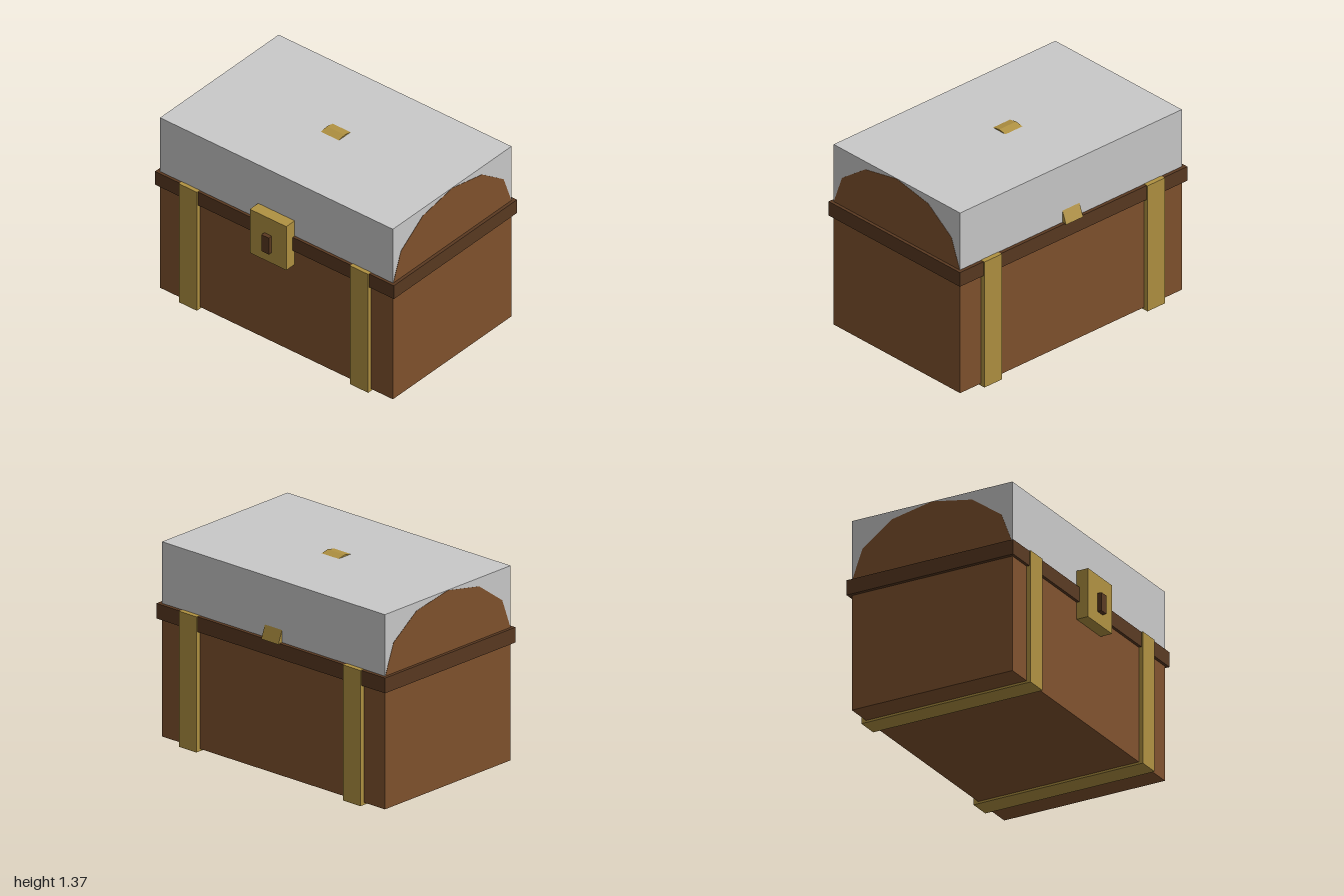
import * as THREE from 'three';

const mat = (name, color) => {
  const m = new THREE.MeshStandardMaterial({ color });
  m.name = name;
  return m;
};

export function createModel() {
  const wood = mat('wood brown', 0x80522d);
  const darkWood = mat('dark brown', 0x593921);
  const brass = mat('brass', 0xb09141);
  const grey = mat('pale grey', 0xc9c9c9);

  const chest = new THREE.Group();
  chest.name = 'chest';
  const midZ = -0.04, lidY = 0.93;

  // Box given by its lower and upper limits on each axis
  function box(name, material, [x0, x1], [y0, y1], [z0, z1]) {
    const mesh = new THREE.Mesh(new THREE.BoxGeometry(x1 - x0, y1 - y0, z1 - z0), material);
    mesh.position.set((x0 + x1) / 2, (y0 + y1) / 2, (z0 + z1) / 2);
    mesh.name = name;
    chest.add(mesh);
  }

  // Half of a twelve-sided ellipse, extruded along x
  function arch(name, material, rz, ry, width) {
    const points = [];
    for (let i = 0; i <= 6; i++) {
      const a = (i * Math.PI) / 6;
      points.push(new THREE.Vector2(rz * Math.cos(a), ry * Math.sin(a)));
    }
    const geometry = new THREE.ExtrudeGeometry(new THREE.Shape(points), { depth: width, bevelEnabled: false });
    geometry.translate(0, 0, -width / 2);
    geometry.rotateY(Math.PI / 2);
    const mesh = new THREE.Mesh(geometry, material);
    mesh.position.set(0, lidY, midZ);
    mesh.name = name;
    chest.add(mesh);
  }

  // Body and the rim around its mouth
  box('body', wood, [-0.975, 0.975], [0.015, 0.9], [-0.64, 0.56]);
  box('rim', darkWood, [-1, 1], [0.83, 0.935], [-0.665, 0.58]);

  // Rounded lid, its centre strap, and the square casing over them
  arch('lid', wood, 0.599, 0.429, 1.954);
  arch('lidStrap', brass, 0.635, 0.441, 0.15);
  box('lidCasing', grey, [-0.975, 0.975], [0.92, 1.36], [-0.64, 0.56]);

  // Straps wrapping the body
  for (const side of [-1, 1]) {
    const x = side * 0.717;
    box(side > 0 ? 'leftStrap' : 'rightStrap', brass, [x - 0.076, x + 0.076], [0, 0.937], [-0.675, 0.59]);
  }

  // Lock
  box('lockPlate', brass, [-0.153, 0.153], [0.71, 1.055], [0.5, 0.645]);
  box('keyhole', darkWood, [-0.031, 0.031], [0.795, 0.925], [0.6, 0.675]);

  return chest;
}
